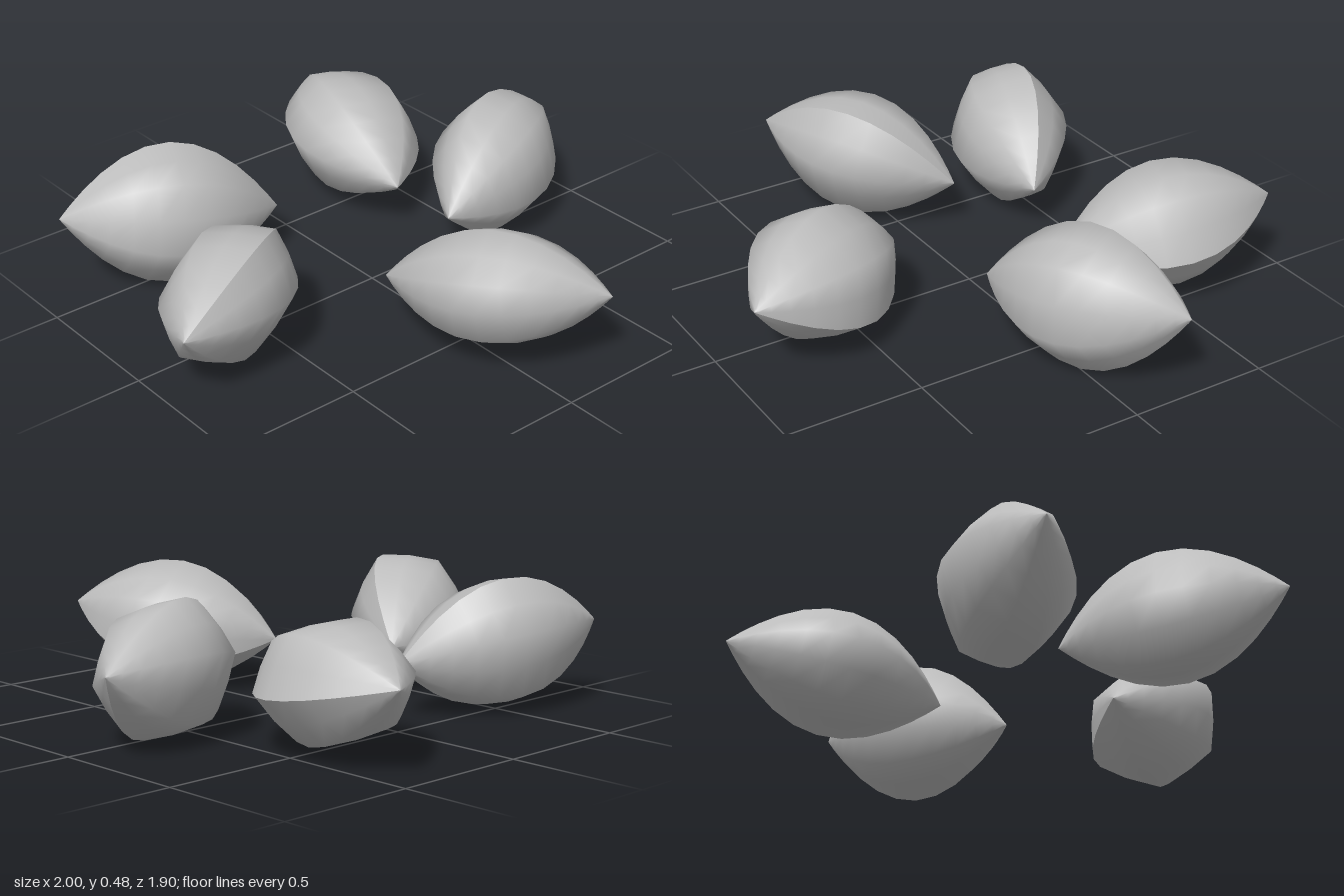
import * as THREE from 'three';

const HALF_LENGTH = 0.398, HALF_WIDTH = 0.25, HALF_THICK = 0.212;

// Pointed seed along y with a softly six-sided section;
// the unjoined seam at +z forms its one sharp keel
function seedGeometry() {
  const profile = [];
  const rows = 14;
  for (let i = 0; i <= rows; i++) {
    const u = -Math.cos((i / rows) * Math.PI);
    profile.push(new THREE.Vector2(Math.max(0, 1 - u * u), u * HALF_LENGTH));
  }
  const geometry = new THREE.LatheGeometry(profile, 12);
  const p = geometry.attributes.position;
  for (let i = 0; i < p.count; i++) {
    const x = p.getX(i), z = p.getZ(i);
    // pull in the middle of each of the six sides
    const pull = 0.95 + 0.05 * Math.cos(6 * Math.atan2(x, z));
    p.setX(i, x * pull * HALF_THICK);
    p.setZ(i, z * pull * HALF_WIDTH);
  }
  geometry.computeVertexNormals();
  return geometry;
}

// Inner tip, outer tip (x, z) and the roll of the keel in degrees
const seeds = [
  { name: 'backRightSeed', inner: [-0.14, -0.37], outer: [-0.88, -0.63], roll: 108 },
  { name: 'backLeftSeed', inner: [0.28, -0.19], outer: [0.475, -0.95], roll: 187 },
  { name: 'leftSeed', inner: [0.27, 0.10], outer: [1.0, -0.20], roll: -105 },
  { name: 'rightSeed', inner: [-0.34, -0.15], outer: [-1.0, 0.28], roll: 60 },
  { name: 'frontSeed', inner: [-0.15, 0.25], outer: [0.22, 0.95], roll: -29 },
];

export function createModel() {
  const group = new THREE.Group();
  group.name = 'seeds';
  const shell = new THREE.MeshStandardMaterial({ color: 0xbcbcbc });
  shell.name = 'light grey shell';
  const geometry = seedGeometry();

  for (const { name, inner, outer, roll } of seeds) {
    // outer tips sit a little higher than inner ones
    const a = new THREE.Vector3(inner[0], 0.2, inner[1]);
    const b = new THREE.Vector3(outer[0], 0.3, outer[1]);
    const along = b.clone().sub(a).normalize();
    const side = new THREE.Vector3(along.z, 0, -along.x).normalize();
    const up = along.clone().cross(side);
    const angle = THREE.MathUtils.degToRad(roll);
    const keel = side.multiplyScalar(Math.cos(angle)).addScaledVector(up, Math.sin(angle));
    const across = along.clone().cross(keel);

    const seed = new THREE.Mesh(geometry, shell);
    seed.name = name;
    seed.quaternion.setFromRotationMatrix(new THREE.Matrix4().makeBasis(across, along, keel));
    seed.position.copy(a).add(b).multiplyScalar(0.5);
    group.add(seed);
  }
  return group;
}
